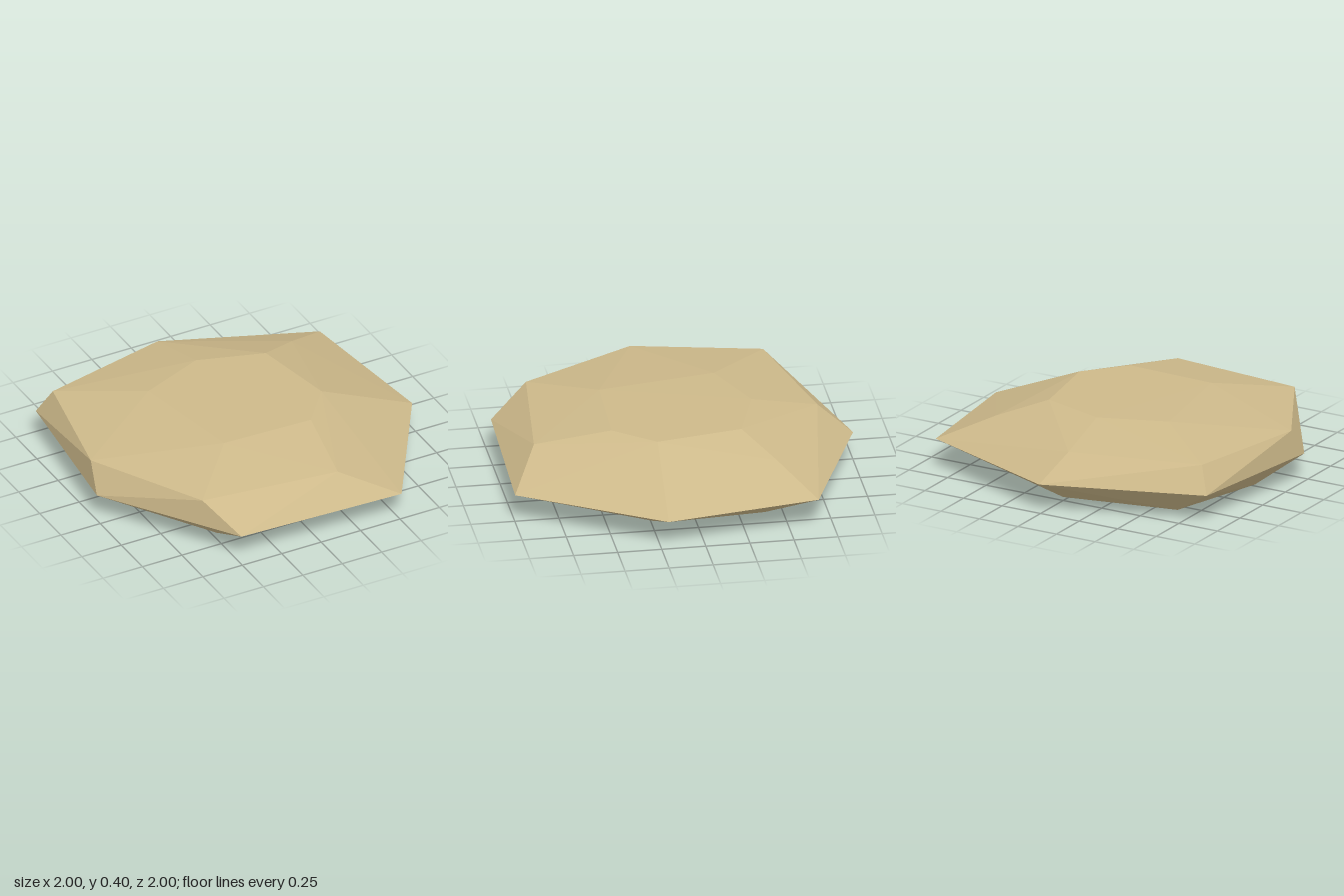
import * as THREE from 'three';
import { ConvexGeometry } from 'three/addons/geometries/ConvexGeometry.js';

// Rings of the faceted stone, each corner as [x, y, z], from the base up
const base = [
  [0.03, 0, -0.7], [0.61, 0, -0.4], [0.62, 0, 0.24], [0.21, 0, 0.75],
  [-0.47, 0, 0.64], [-0.79, 0, 0.02], [-0.63, 0, -0.56],
];
const rim = [
  [0.01, 0.17, -1], [0.88, 0.18, -0.66], [1, 0.165, 0.21], [0.51, 0.165, 1],
  [-0.49, 0.17, 0.97], [-1, 0.165, 0.21], [-0.9, 0.175, -0.7],
];
const shoulder = [
  [-0.07, 0.32, -0.81], [0.6, 0.31, -0.47], [0.19, 0.32, 0.84],
  [-0.62, 0.325, 0.75], [-0.98, 0.33, 0.1], [-0.83, 0.325, -0.63],
];
const crown = [
  [-0.03, 0.4, -0.43], [0.35, 0.4, -0.31], [0.44, 0.4, 0.18],
  [0.25, 0.4, 0.41], [-0.29, 0.4, 0.39], [-0.41, 0.398, -0.28],
];

export function createModel() {
  const group = new THREE.Group();
  group.name = 'flatStone';

  const sandstone = new THREE.MeshStandardMaterial({ color: 0xcdb98a });
  sandstone.name = 'sandstone';
  sandstone.flatShading = true;

  // The stone is the convex skin around all its rings
  const corners = [...base, ...rim, ...shoulder, ...crown].map((p) => new THREE.Vector3(...p));
  const stone = new THREE.Mesh(new ConvexGeometry(corners), sandstone);
  stone.name = 'stone';
  group.add(stone);

  return group;
}
